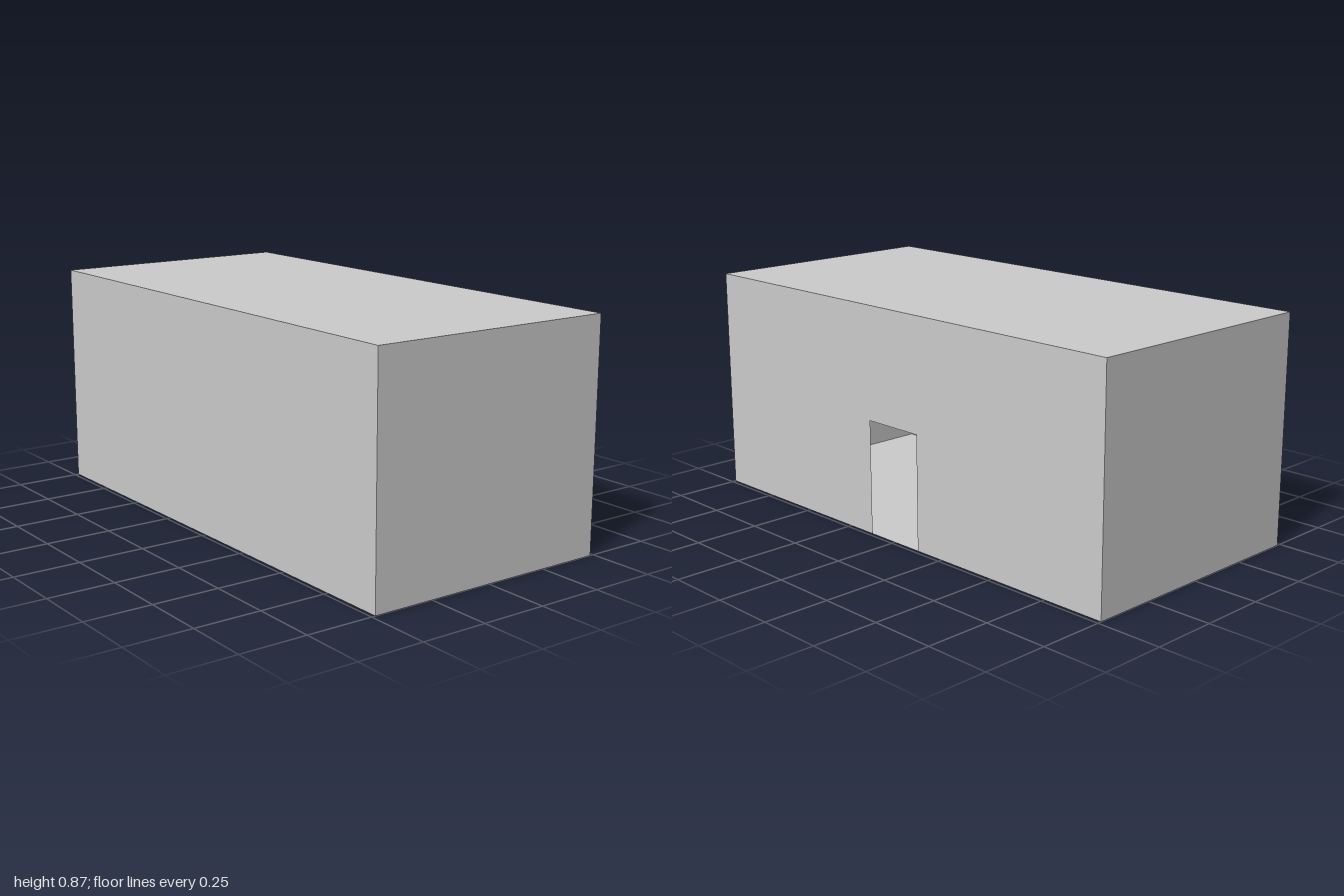
import * as THREE from 'three';

const W = 0.97, H = 0.866, L = 2;           // outer size of the room
const DOOR_W = 0.252, DOOR_H = 0.437;       // doorway in the +x wall

const material = new THREE.MeshStandardMaterial({ color: 0xcccccc, side: THREE.DoubleSide });

export function createModel() {
  const room = new THREE.Group();
  room.name = 'room';

  // Adds one thin panel; geometry faces +z before it is turned outwards
  const addPanel = (name, geometry, position, rotX = 0, rotY = 0) => {
    const panel = new THREE.Mesh(geometry, material);
    panel.name = name;
    panel.position.set(...position);
    panel.rotation.set(rotX, rotY, 0);
    room.add(panel);
  };

  // Floor and flat roof
  const slab = new THREE.PlaneGeometry(W, L);
  addPanel('floor', slab, [0, 0, 0], Math.PI / 2);
  addPanel('roof', slab, [0, H, 0], -Math.PI / 2);

  // End walls
  const endWall = new THREE.PlaneGeometry(W, H);
  addPanel('frontWall', endWall, [0, H / 2, L / 2]);
  addPanel('backWall', endWall, [0, H / 2, -L / 2], 0, Math.PI);

  // Closed long wall
  addPanel('closedSideWall', new THREE.PlaneGeometry(L, H), [-W / 2, H / 2, 0], 0, -Math.PI / 2);

  // Long wall with an open doorway reaching the floor
  const outline = [
    [-L / 2, 0], [-DOOR_W / 2, 0], [-DOOR_W / 2, DOOR_H], [DOOR_W / 2, DOOR_H],
    [DOOR_W / 2, 0], [L / 2, 0], [L / 2, H], [-L / 2, H],
  ].map(([x, y]) => new THREE.Vector2(x, y));
  addPanel('doorwayWall', new THREE.ShapeGeometry(new THREE.Shape(outline)), [W / 2, 0, 0], 0, Math.PI / 2);

  return room;
}
